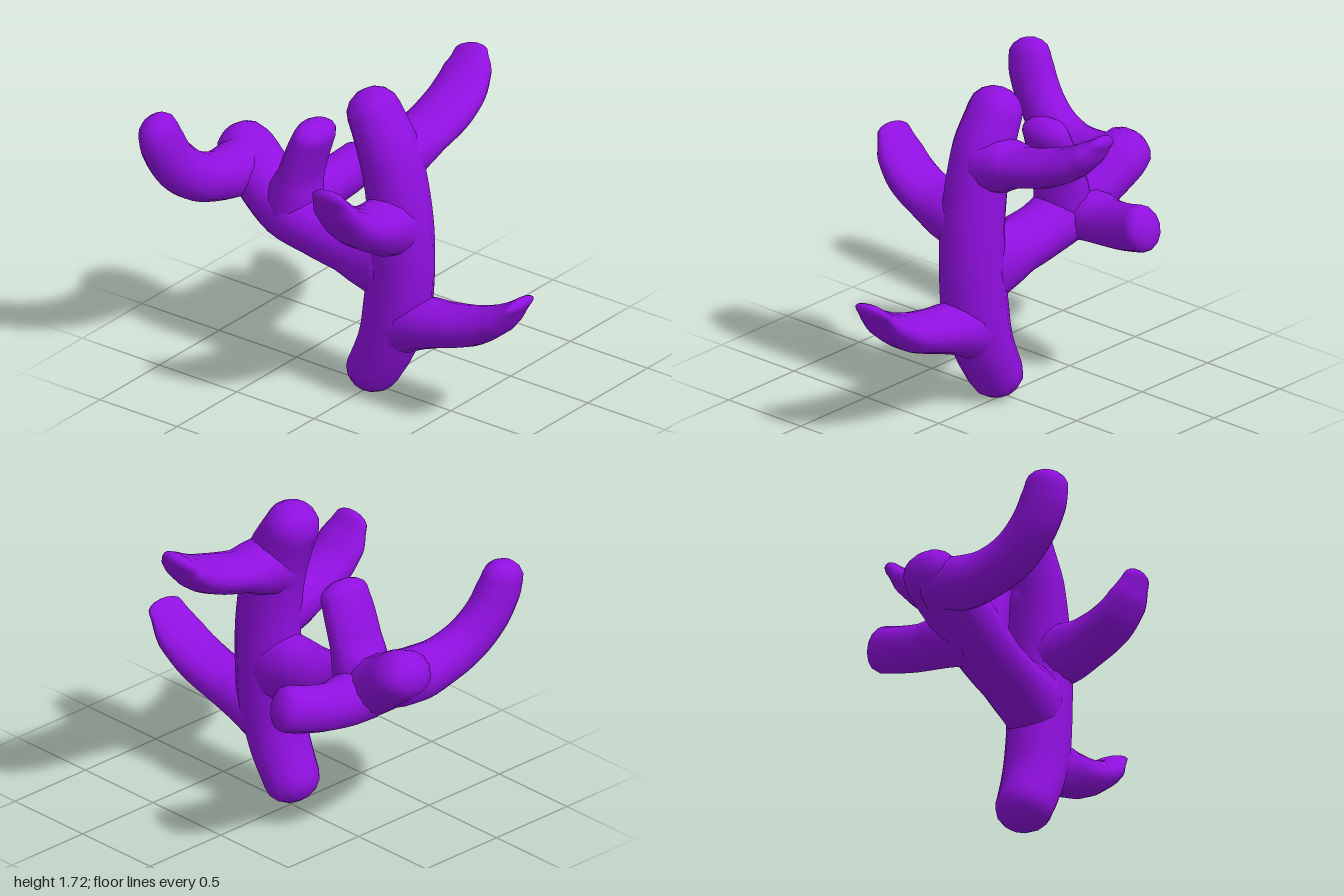
import * as THREE from 'three';

const SIDES = 14;
const material = new THREE.MeshStandardMaterial({ color: 0x9010e0 });

// Limb swept through rows of [x, y, z, halfWidth along `axis`, halfThickness],
// closed by rounded caps of length startCap / endCap.
function limb(name, rows, axis, endCap, startCap = 0.03) {
  const path = new THREE.CatmullRomCurve3(rows.map(r => new THREE.Vector3(r[0], r[1], r[2])), false, 'centripetal');
  const steps = (rows.length - 1) * 4;
  const positions = [], index = [];
  let rings = 0;

  const addRing = (t, shrink, shift) => {
    const tangent = path.getTangent(t);
    const centre = path.getPoint(t).addScaledVector(tangent, shift);
    const u = axis.clone().addScaledVector(tangent, -axis.dot(tangent)).normalize();
    const n = tangent.clone().cross(u);
    const s = t * (rows.length - 1), k = Math.min(Math.floor(s), rows.length - 2);
    const f = THREE.MathUtils.smoothstep(s - k, 0, 1) * 0.4 + (s - k) * 0.6;
    const a = THREE.MathUtils.lerp(rows[k][3], rows[k + 1][3], f) * shrink;
    const b = THREE.MathUtils.lerp(rows[k][4], rows[k + 1][4], f) * shrink;
    for (let j = 0; j < SIDES; j++) {
      const angle = (j / SIDES) * Math.PI * 2;
      const p = centre.clone().addScaledVector(u, a * Math.cos(angle)).addScaledVector(n, b * Math.sin(angle));
      positions.push(p.x, p.y, p.z);
    }
    rings++;
  };

  const capAngles = [0.4, 0.8, 1.2];
  for (const c of [...capAngles].reverse()) addRing(0, Math.cos(c), -startCap * Math.sin(c));
  for (let i = 0; i <= steps; i++) addRing(i / steps, 1, 0);
  for (const c of capAngles) addRing(1, Math.cos(c), endCap * Math.sin(c));

  for (let i = 0; i < rings - 1; i++) {
    for (let j = 0; j < SIDES; j++) {
      const a = i * SIDES + j, b = i * SIDES + (j + 1) % SIDES;
      index.push(a, b, b + SIDES, a, b + SIDES, a + SIDES);
    }
  }
  // Pole vertices at both ends
  const first = rings * SIDES, last = first + 1, top = (rings - 1) * SIDES;
  const p0 = path.getPoint(0).addScaledVector(path.getTangent(0), -startCap);
  const p1 = path.getPoint(1).addScaledVector(path.getTangent(1), endCap);
  positions.push(p0.x, p0.y, p0.z, p1.x, p1.y, p1.z);
  for (let j = 0; j < SIDES; j++) {
    const k = (j + 1) % SIDES;
    index.push(first, k, j, last, top + j, top + k);
  }

  const geometry = new THREE.BufferGeometry();
  geometry.setAttribute('position', new THREE.Float32BufferAttribute(positions, 3));
  geometry.setIndex(index);
  geometry.computeVertexNormals();
  const mesh = new THREE.Mesh(geometry, material);
  mesh.name = name;
  return mesh;
}

export function createModel() {
  const group = new THREE.Group();
  group.name = 'branchingCoral';
  const X = new THREE.Vector3(1, 0, 0), Z = new THREE.Vector3(0, 0, 1);
  const c = -0.035; // trunk centre in x

  group.add(
    // Bowed trunk
    limb('trunk', [
      [c, 0.12, 0.03, 0.155, 0.14], [c, 0.3, 0.12, 0.165, 0.155], [c, 0.5, 0.18, 0.165, 0.185],
      [c, 0.72, 0.2, 0.165, 0.185], [c, 0.95, 0.205, 0.165, 0.175], [c, 1.2, 0.175, 0.165, 0.165],
      [c, 1.4, 0.12, 0.165, 0.16], [c, 1.58, 0.03, 0.15, 0.14],
    ], X, 0.13, 0.125),

    // Low front branch, thinning to a flat upturned tip
    limb('frontBranch', [
      [c, 0.42, 0.18, 0.155, 0.17], [c, 0.47, 0.36, 0.158, 0.135], [c, 0.5, 0.5, 0.155, 0.115],
      [c, 0.55, 0.68, 0.155, 0.1], [c, 0.64, 0.85, 0.15, 0.075], [c, 0.755, 0.965, 0.115, 0.035],
    ], X, 0.05),

    // Upper left branch
    limb('leftBranch', [
      [-0.02, 1.33, 0.14, 0.16, 0.17], [0.13, 1.355, 0.13, 0.16, 0.14], [0.24, 1.375, 0.13, 0.16, 0.102],
      [0.42, 1.425, 0.13, 0.16, 0.1], [0.57, 1.49, 0.115, 0.155, 0.09], [0.67, 1.565, 0.09, 0.14, 0.07],
      [0.73, 1.63, 0.065, 0.1, 0.04],
    ], Z, 0.05),

    // Middle right branch
    limb('rightBranch', [
      [0, 0.99, 0.2, 0.155, 0.18], [-0.19, 1.035, 0.205, 0.16, 0.155], [-0.32, 1.075, 0.205, 0.158, 0.118],
      [-0.45, 1.145, 0.2, 0.158, 0.1], [-0.545, 1.245, 0.19, 0.15, 0.075], [-0.6, 1.345, 0.18, 0.115, 0.04],
    ], Z, 0.055),

    // Thick rear bough rising backwards
    limb('rearBough', [
      [c, 0.74, 0.14, 0.16, 0.22], [c, 0.755, 0, 0.16, 0.185], [c, 0.775, -0.14, 0.16, 0.15],
      [c, 0.8, -0.32, 0.16, 0.145], [c, 0.86, -0.52, 0.165, 0.165], [-0.01, 0.95, -0.68, 0.17, 0.15],
      [0.035, 1.055, -0.83, 0.16, 0.14], [0.04, 1.085, -0.88, 0.15, 0.13],
    ], X, 0.11),

    // Shoot standing on the rear bough
    limb('rearUprightShoot', [
      [c, 0.86, -0.5, 0.16, 0.16], [c, 1.0, -0.47, 0.16, 0.13], [c, 1.1, -0.44, 0.157, 0.1],
      [c, 1.22, -0.4, 0.155, 0.095], [c, 1.335, -0.355, 0.145, 0.09],
    ], X, 0.07),

    // Rear shoot to the left
    limb('rearLeftShoot', [
      [0, 0.85, -0.54, 0.15, 0.15], [0.13, 0.85, -0.55, 0.14, 0.138], [0.25, 0.85, -0.54, 0.12, 0.128],
      [0.4, 0.878, -0.515, 0.115, 0.125], [0.51, 0.912, -0.49, 0.105, 0.125],
    ], Z, 0.06),

    // Rear shoot to the right, curling up
    limb('rearRightShoot', [
      [0.05, 1.04, -0.82, 0.15, 0.15], [-0.12, 1.02, -0.82, 0.145, 0.145], [-0.28, 1.04, -0.83, 0.125, 0.13],
      [-0.43, 1.105, -0.85, 0.115, 0.13], [-0.55, 1.22, -0.875, 0.11, 0.13], [-0.615, 1.34, -0.89, 0.105, 0.13],
      [-0.64, 1.42, -0.9, 0.095, 0.12],
    ], Z, 0.09),
  );
  return group;
}
